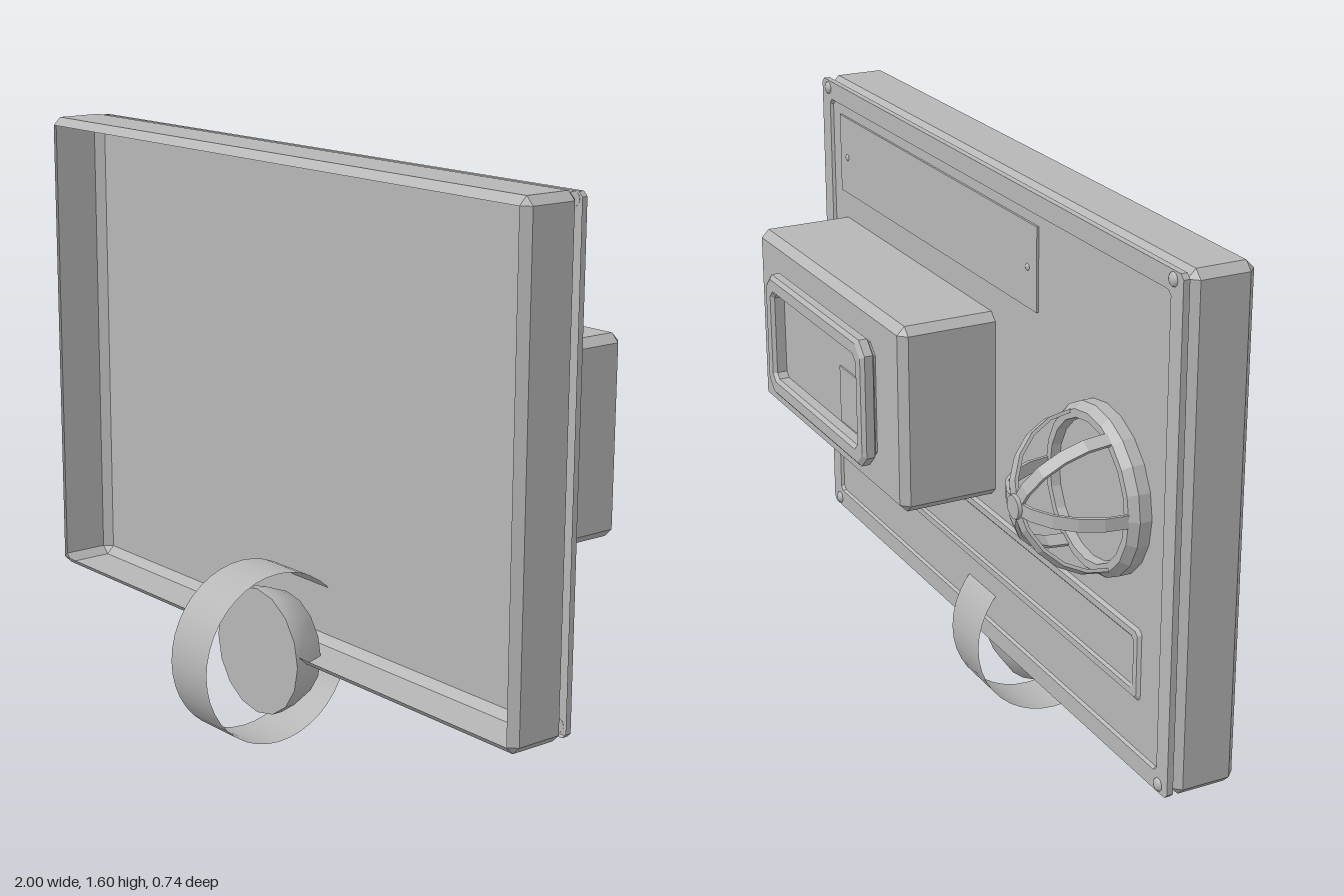
import * as THREE from 'three';

const grey = new THREE.MeshStandardMaterial({ color: 0xb6b6b6, side: THREE.DoubleSide });
grey.name = 'grey';

// Lofts rectangles with cut corners toward -z and closes the last one.
// Each level is [halfWidth, halfHeight, cornerCut, z].
function loft(levels) {
  const rings = levels.map(([w, h, c, z]) => [
    [w, c - h], [w, h - c], [w - c, h], [c - w, h],
    [-w, h - c], [-w, c - h], [c - w, -h], [w - c, -h],
  ].map(([x, y]) => new THREE.Vector3(x, y, z)));
  const pos = [];
  const tri = (a, b, c) => {
    const area = b.clone().sub(a).cross(c.clone().sub(a)).length();
    if (area > 1e-9) [a, b, c].forEach((p) => pos.push(p.x, p.y, p.z));
  };
  for (let k = 0; k < rings.length - 1; k++) {
    const a = rings[k], b = rings[k + 1];
    for (let i = 0; i < 8; i++) {
      const j = (i + 1) % 8;
      tri(a[i], b[i], b[j]);
      tri(a[i], b[j], a[j]);
    }
  }
  const end = rings[rings.length - 1];
  for (let i = 1; i < 7; i++) tri(end[0], end[i + 1], end[i]);
  const geo = new THREE.BufferGeometry();
  geo.setAttribute('position', new THREE.Float32BufferAttribute(pos, 3));
  geo.computeVertexNormals();
  return geo;
}

export function createModel() {
  const model = new THREE.Group();
  model.name = 'wallUnit';
  const add = (name, geo, x = 0, y = 0, z = 0, parent = model) => {
    const mesh = new THREE.Mesh(geo, grey);
    mesh.name = name;
    mesh.position.set(x, y, z);
    parent.add(mesh);
    return mesh;
  };
  const midY = 0.924;

  // Chamfered tray, open at the front
  const c = 0.022, W = 1, H = 0.676;
  add('tray', loft([
    [W - c, H - c, 0, 0.133], [W, H, c, 0.133 - c],
    [W, H, c, c - 0.043], [W - c, H - c, 0, -0.043],
  ]), 0, midY);

  // Back plate with a raised border around a shallow recess
  add('backPlate', loft([
    [0.997, 0.672, 0.012, -0.047], [0.997, 0.672, 0.012, -0.064],
    [0.945, 0.62, 0.012, -0.064], [0.94, 0.615, 0.012, -0.056],
  ]), 0, midY);

  // Screws at the plate corners and on the name plate
  const screw = (name, r, x, y, z) => {
    const geo = new THREE.SphereGeometry(r, 12, 4, 0, Math.PI * 2, 0, Math.PI / 2);
    geo.scale(1, 0.6, 1);
    geo.rotateX(-Math.PI / 2);
    add(name, geo, x, y, z);
  };
  for (const sx of [-1, 1]) {
    for (const sy of [-1, 1]) screw('cornerScrew', 0.018, sx * 0.955, midY + sy * 0.65, -0.063);
    screw('namePlateScrew', 0.01, 0.285 + sx * 0.55, 1.395, -0.061);
  }

  // Blank name plate and long slot
  add('namePlate', loft([[0.597, 0.112, 0, -0.056], [0.597, 0.112, 0, -0.062]]), 0.285, 1.4);
  add('slot', loft([
    [0.848, 0.098, 0.01, -0.056], [0.84, 0.09, 0.01, -0.064],
    [0.822, 0.072, 0.01, -0.064], [0.815, 0.065, 0.01, -0.058],
  ]), 0, 0.545);

  // Chamfered housing on the back
  add('housing', loft([
    [0.478, 0.26, 0.022, -0.056], [0.478, 0.26, 0.022, -0.306], [0.456, 0.238, 0, -0.328],
  ]), 0.4, 0.95);

  // Display frame with a sunken window and a small square plate
  add('displayFrame', loft([
    [0.32, 0.167, 0.03, -0.327], [0.32, 0.167, 0.03, -0.333],
    [0.333, 0.18, 0.035, -0.341], [0.333, 0.18, 0.035, -0.365],
    [0.322, 0.169, 0.032, -0.374], [0.294, 0.137, 0.02, -0.374],
    [0.285, 0.128, 0.015, -0.364], [0.285, 0.128, 0.015, -0.335],
  ]), 0.4, 0.95);
  add('displaySquare', new THREE.BoxGeometry(0.17, 0.16, 0.006), 0.205, 0.91, -0.337);

  // Caged lamp; local +y points out of the back
  const lamp = new THREE.Group();
  lamp.name = 'cagedLamp';
  lamp.position.set(-0.66, 0.95, -0.056);
  lamp.rotation.x = -Math.PI / 2;
  model.add(lamp);
  const rim = [[0.22, 0], [0.22, 0.032], [0.203, 0.054], [0.182, 0.054], [0.178, 0.03], [0, 0.03]];
  const rimGeo = new THREE.LatheGeometry(rim.map((p) => new THREE.Vector2(...p)), 20).toNonIndexed();
  rimGeo.computeVertexNormals();
  add('lampRim', rimGeo, 0, 0, 0, lamp);

  // Three flat arches crossing at the hub
  const arch = new THREE.Shape();
  const n = 10;
  for (let i = 0; i <= n; i++) {
    const a = (i / n) * Math.PI;
    arch[i ? 'lineTo' : 'moveTo'](0.203 * Math.cos(a), 0.05 + 0.2 * Math.sin(a));
  }
  for (let i = n; i >= 0; i--) {
    const a = (i / n) * Math.PI;
    arch.lineTo(0.194 * Math.cos(a), 0.05 + 0.191 * Math.sin(a));
  }
  const archGeo = new THREE.ExtrudeGeometry(arch, { depth: 0.034, bevelEnabled: false });
  archGeo.translate(0, 0, -0.017);
  for (let k = 0; k < 3; k++) add('cageArch', archGeo, 0, 0, 0, lamp).rotation.y = (k * Math.PI) / 3;
  add('cageHub', new THREE.CylinderGeometry(0.03, 0.033, 0.018, 12), 0, 0.246, 0, lamp);

  // Thin upright ring passing through the lower edge
  const band = new THREE.CylinderGeometry(0.24, 0.24, 0.16, 40, 1, true);
  band.rotateZ(Math.PI / 2);
  add('ring', band, 0, 0.24, 0.13);

  // Bowl inside the ring with a flat front disc
  const bowl = [[0.178, 0.142], [0.178, 0.112], [0.15, 0.04], [0.085, -0.006], [0, -0.022]];
  const bowlGeo = new THREE.LatheGeometry(bowl.map(([r, z]) => new THREE.Vector2(r, z)).reverse(), 16);
  bowlGeo.rotateX(Math.PI / 2);
  add('bowl', bowlGeo, 0, 0.243);
  const disc = new THREE.CircleGeometry(0.178, 16);
  disc.rotateZ(Math.PI / 2);
  add('bowlDisc', disc, 0, 0.243, 0.142);

  return model;
}
